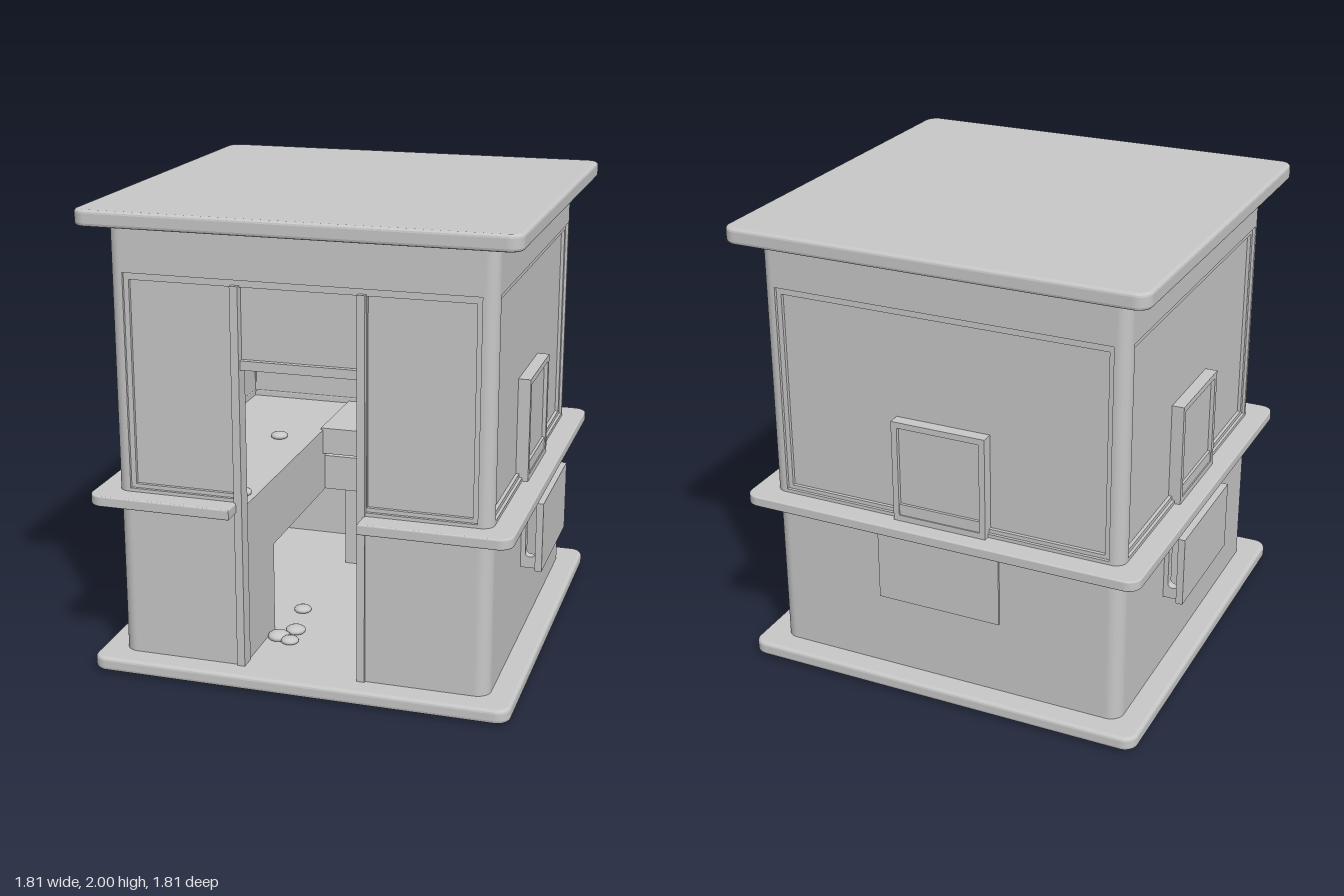
import * as THREE from 'three';

const grey = new THREE.MeshStandardMaterial({ color: 0xc8c8c8 });
grey.name = 'plain grey';

const add = (parent, name, geo) => {
  const m = new THREE.Mesh(geo, grey);
  m.name = name;
  parent.add(m);
  return m;
};

// Box given by its limits on each axis
const box = (parent, name, x0, x1, y0, y1, z0, z1) => {
  const g = new THREE.BoxGeometry(x1 - x0, y1 - y0, z1 - z0);
  g.translate((x0 + x1) / 2, (y0 + y1) / 2, (z0 + z1) / 2);
  return add(parent, name, g);
};

// Rounded rectangle outline around a centre
function roundedRect(cx, cy, w, h, r) {
  const s = new THREE.Shape();
  const [x0, x1, y0, y1] = [cx - w / 2, cx + w / 2, cy - h / 2, cy + h / 2];
  s.moveTo(x0 + r, y0);
  s.lineTo(x1 - r, y0);
  s.absarc(x1 - r, y0 + r, r, -Math.PI / 2, 0);
  s.lineTo(x1, y1 - r);
  s.absarc(x1 - r, y1 - r, r, 0, Math.PI / 2);
  s.lineTo(x0 + r, y1);
  s.absarc(x0 + r, y1 - r, r, Math.PI / 2, Math.PI);
  s.lineTo(x0, y0 + r);
  s.absarc(x0 + r, y0 + r, r, Math.PI, Math.PI * 1.5);
  return s;
}

// Hollow square of half width h, open at the doorway on the front
function doorRing(h, t, r, gap) {
  const s = new THREE.Shape();
  const i = h - t;
  s.moveTo(gap, h);
  s.lineTo(gap, i);
  s.lineTo(i, i);
  s.lineTo(i, -i);
  s.lineTo(-i, -i);
  s.lineTo(-i, i);
  s.lineTo(-gap, i);
  s.lineTo(-gap, h);
  s.lineTo(-h + r, h);
  s.absarc(-h + r, h - r, r, Math.PI / 2, Math.PI);
  s.lineTo(-h, -h + r);
  s.absarc(-h + r, -h + r, r, Math.PI, Math.PI * 1.5);
  s.lineTo(h - r, -h);
  s.absarc(h - r, -h + r, r, -Math.PI / 2, 0);
  s.lineTo(h, h - r);
  s.absarc(h - r, h - r, r, 0, Math.PI / 2);
  return s;
}

// Raise a floor plan from y0 to y1, with an optional rounded edge
function plan(parent, name, shape, y0, y1, bevel = 0) {
  const g = new THREE.ExtrudeGeometry(shape, {
    depth: y1 - y0 - 2 * bevel, curveSegments: 6, bevelEnabled: bevel > 0,
    bevelSize: bevel, bevelThickness: bevel, bevelOffset: -bevel, bevelSegments: 3,
  });
  g.rotateX(Math.PI / 2);
  g.translate(0, y1 - bevel, 0);
  return add(parent, name, g);
}

// Rectangular border standing on the plane z0 and reaching z1
function border(parent, name, x0, x1, y0, y1, w, z0, z1) {
  const s = new THREE.Shape([[x0, y0], [x1, y0], [x1, y1], [x0, y1]].map(p => new THREE.Vector2(...p)));
  s.holes.push(new THREE.Path([[x0 + w, y0 + w], [x0 + w, y1 - w], [x1 - w, y1 - w], [x1 - w, y0 + w]]
    .map(p => new THREE.Vector2(...p))));
  const g = new THREE.ExtrudeGeometry(s, { depth: z1 - z0, bevelEnabled: false });
  g.translate(0, 0, z0);
  return add(parent, name, g);
}

// Looped bracket holding a board off the wall
function bracket(parent, x) {
  const s = roundedRect(0.845, 0.555, 0.1, 0.31, 0.01);
  s.holes.push(roundedRect(0.842, 0.573, 0.044, 0.246, 0.018));
  const g = new THREE.ExtrudeGeometry(s, { depth: 0.04, bevelEnabled: false, curveSegments: 5 });
  g.rotateY(-Math.PI / 2);
  g.translate(x + 0.02, 0, 0);
  add(parent, 'boardBracket', g);
}

// Large recessed window with a stepped frame
function windowPanel(parent, x0, x1) {
  box(parent, 'windowPane', x0, x1, 0.8, 1.74, 0.745, 0.772);
  border(parent, 'windowFrame', x0, x1, 0.8, 1.735, 0.032, 0.76, 0.787);
}

export function createModel() {
  const root = new THREE.Group();
  root.name = 'kiosk';

  // Base with low ridges below, roof, lower wall and ledge
  plan(root, 'base', roundedRect(0, 0, 1.81, 1.81, 0.06), 0.01, 0.07, 0.015);
  plan(root, 'baseRidge', doorRing(0.8, 0.04, 0.05, 0.3), 0, 0.014);
  plan(root, 'roof', roundedRect(0, 0, 1.814, 1.814, 0.06), 1.932, 2, 0.014);
  plan(root, 'lowerWall', doorRing(0.8, 0.04, 0.06, 0.27), 0.06, 0.76);
  plan(root, 'ledge', doorRing(0.897, 0.15, 0.06, 0.27), 0.755, 0.8, 0.006);
  plan(root, 'windowSill', doorRing(0.8, 0.05, 0.05, 0.27), 0.79, 0.815);
  const band = roundedRect(0, 0, 1.6, 1.6, 0.05);
  band.holes.push(roundedRect(0, 0, 1.49, 1.49, 0.02));
  plan(root, 'upperBand', band, 1.733, 1.94);

  // Rounded corner posts between the windows
  for (let k = 0; k < 4; k++) {
    const s = new THREE.Shape();
    s.moveTo(0.74, 0.74);
    s.lineTo(0.8, 0.74);
    s.lineTo(0.8, 0.75);
    s.absarc(0.75, 0.75, 0.05, 0, Math.PI / 2);
    s.lineTo(0.74, 0.8);
    const post = plan(root, 'cornerPost', s, 0.79, 1.74);
    post.rotation.y = k * Math.PI / 2;
  }

  // Right, back and left walls with their framed hatches
  [['rightWall', 1], ['backWall', 2], ['leftWall', 3]].forEach(([name, turn]) => {
    const wall = new THREE.Group();
    wall.name = name;
    wall.rotation.y = turn * Math.PI / 2;
    root.add(wall);
    windowPanel(wall, -0.75, 0.75);
    border(wall, 'hatchFrame', -0.21, 0.21, 0.8, 1.25, 0.026, 0.765, 0.825);
    border(wall, 'innerHatchFrame', -0.21, 0.21, 0.8, 1.25, 0.026, 0.72, 0.75);
    box(wall, 'hatchPanel', -0.19, 0.19, 0.82, 1.23, 0.765, 0.808);
    box(wall, 'hatchSill', -0.19, 0.19, 0.8, 0.875, 0.77, 0.82);
    if (name === 'backWall') {
      box(wall, 'flatBoard', -0.3, 0.26, 0.4, 0.71, 0.79, 0.81);
    } else {
      // Hanging board on two looped brackets
      const [a, b] = name === 'rightWall' ? [-0.22, 0.34] : [-0.34, 0.22];
      box(wall, 'hangingBoard', a, b, 0.4, 0.71, 0.868, 0.898);
      bracket(wall, a + 0.05);
      bracket(wall, b - 0.05);
    }
  });

  // Front wall: two windows, door posts, lintel and transom
  const front = new THREE.Group();
  front.name = 'frontWall';
  root.add(front);
  for (const s of [-1, 1]) {
    windowPanel(front, s < 0 ? -0.75 : 0.25, s < 0 ? -0.25 : 0.75);
    const x = s * 0.262;
    box(front, 'doorPost', x - 0.017, x + 0.017, 0.06, 1.71, 0.74, 0.81);
  }
  box(front, 'doorLintel', -0.25, 0.25, 1.365, 1.404, 0.74, 0.795);
  box(front, 'transomPane', -0.25, 0.25, 1.4, 1.74, 0.745, 0.772);
  box(front, 'transomRail', -0.25, 0.25, 1.703, 1.735, 0.76, 0.787);

  // Counters inside, along all four walls
  const inside = new THREE.Group();
  inside.name = 'counters';
  root.add(inside);
  for (const s of [-1, 1]) {
    const span = (name, a, b, y0, y1, z0, z1) =>
      box(inside, name, Math.min(s * a, s * b), Math.max(s * a, s * b), y0, y1, z0, z1);
    span('frontCounter', 0.25, 0.77, 0.06, 0.77, 0.41, 0.77);
    span('sideCounter', 0.25, 0.77, 0.47, 0.77, -0.77, 0.42);
  }
  box(inside, 'backCounterTop', -0.26, 0.26, 0.655, 0.78, -0.77, -0.3);
  box(inside, 'backDrawers', -0.26, 0.26, 0.47, 0.635, -0.77, -0.33);
  box(inside, 'backApron', -0.26, 0.26, 0.63, 0.66, -0.77, -0.36);
  box(inside, 'backCabinet', -0.17, 0.01, 0.06, 0.48, -0.77, -0.4);
  box(inside, 'backSupport', 0.01, 0.025, 0.06, 0.48, -0.77, -0.37);

  // Small flat stones on the floor and counters
  [[-0.2, 0.08, 0.5, 0.05], [-0.15, 0.08, 0.42, 0.045], [-0.14, 0.08, 0.53, 0.04],
    [-0.19, 0.08, 0.2, 0.04], [-0.31, 0.78, 0.62, 0.04], [-0.41, 0.78, -0.14, 0.04]].forEach(([x, y, z, r]) => {
    const stone = add(root, 'flatStone', new THREE.SphereGeometry(r, 12, 8));
    stone.scale.y = 0.45;
    stone.position.set(x, y, z);
  });
  return root;
}
